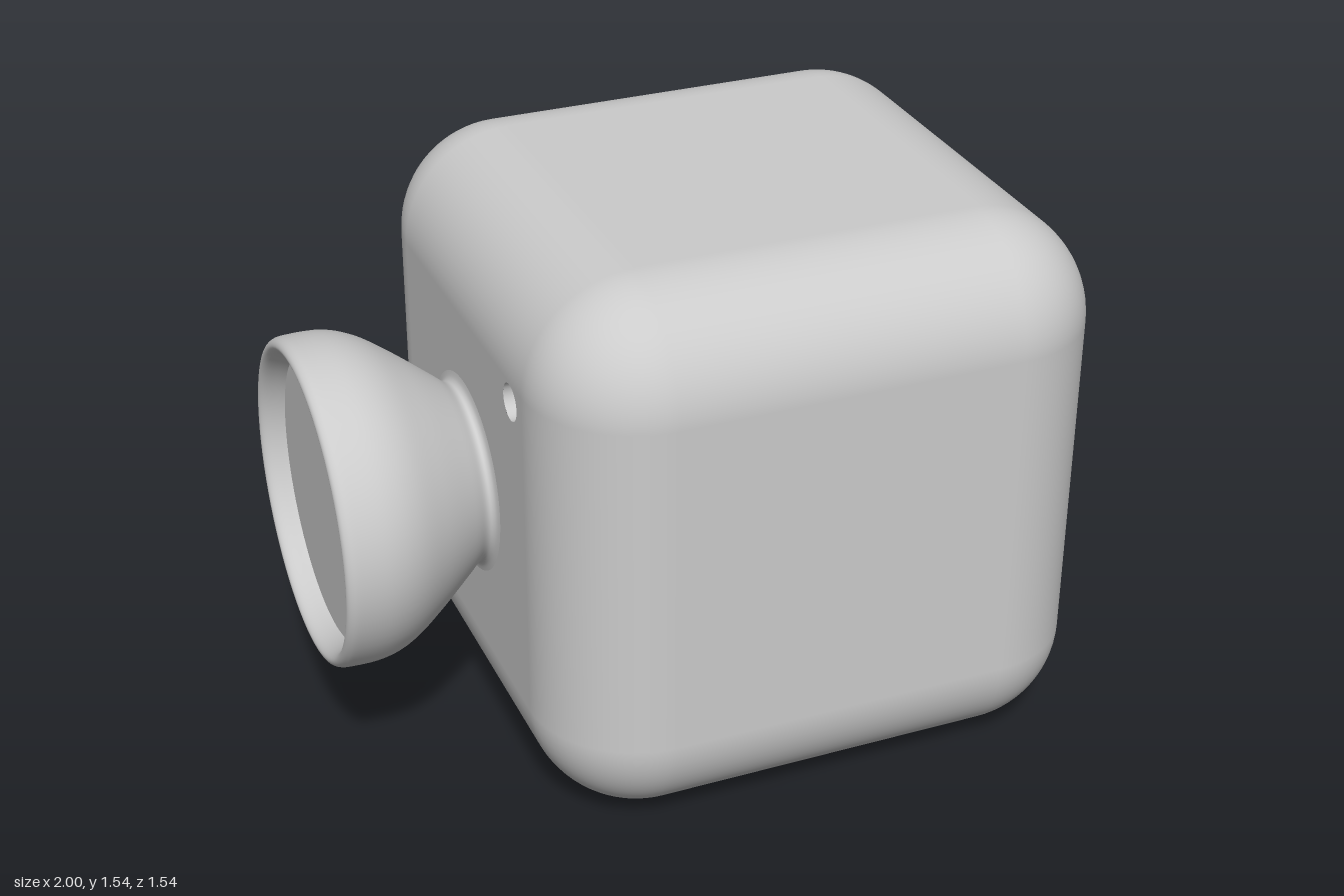
import * as THREE from 'three';
import { RoundedBoxGeometry } from 'three/addons/geometries/RoundedBoxGeometry.js';

const SIZE = 1.54, RADIUS = 0.3, CENTRE_X = 0.23, CENTRE_Y = 0.77;
const HALF = SIZE / 2, FLAT = HALF - RADIUS;
const HOLE = { z: 0.385, y: 0.415, r: 0.05, depth: 0.07 };

const material = new THREE.MeshStandardMaterial({ color: 0xcccccc, roughness: 0.7 });
const v2 = (x, y) => new THREE.Vector2(x, y);

function addMesh(parent, name, geometry) {
  const mesh = new THREE.Mesh(geometry, material);
  mesh.name = name;
  parent.add(mesh);
  return mesh;
}

// Rounded cube whose flat -x panel is left out, so that it can carry a hole
function openCube() {
  const box = new RoundedBoxGeometry(SIZE, SIZE, SIZE, 10, RADIUS);
  const p = box.attributes.position, n = box.attributes.normal;
  const positions = [], normals = [];
  for (let i = 0; i < p.count; i += 3) {
    const corners = [i, i + 1, i + 2];
    if (corners.every((j) => p.getX(j) < -HALF + 1e-5)) continue;
    for (const j of corners) {
      positions.push(p.getX(j), p.getY(j), p.getZ(j));
      normals.push(n.getX(j), n.getY(j), n.getZ(j));
    }
  }
  const geometry = new THREE.BufferGeometry();
  geometry.setAttribute('position', new THREE.Float32BufferAttribute(positions, 3));
  geometry.setAttribute('normal', new THREE.Float32BufferAttribute(normals, 3));
  return geometry;
}

// Flat panel with the small round hole, turned to face -x
function sidePanel() {
  const shape = new THREE.Shape([v2(-FLAT, -FLAT), v2(FLAT, -FLAT), v2(FLAT, FLAT), v2(-FLAT, FLAT)]);
  const hole = new THREE.Path();
  hole.absarc(HOLE.z, HOLE.y, HOLE.r, 0, Math.PI * 2, true);
  shape.holes.push(hole);
  return new THREE.ShapeGeometry(shape, 32).rotateY(-Math.PI / 2).translate(-HALF, 0, 0);
}

export function createModel() {
  const model = new THREE.Group();
  model.name = 'cubeWithKnob';

  const body = new THREE.Group();
  body.name = 'body';
  body.position.set(CENTRE_X, CENTRE_Y, 0);
  model.add(body);
  addMesh(body, 'roundedCube', openCube());
  addMesh(body, 'sidePanel', sidePanel());

  // Lining of the hole: a short wall with a rounded bottom, open towards -x
  const lining = [v2(HOLE.r, 0), v2(HOLE.r, -0.03)];
  for (let i = 1; i <= 8; i++) {
    const a = (i / 8) * Math.PI / 2;
    lining.push(v2(HOLE.r * Math.cos(a), -0.03 - (HOLE.depth - 0.03) * Math.sin(a)));
  }
  const holeLining = addMesh(body, 'holeLining', new THREE.LatheGeometry(lining, 32).rotateZ(Math.PI / 2));
  holeLining.position.set(-HALF, HOLE.y, HOLE.z);

  // Knob: profile runs along the axis from the neck fillet to the lip (radius, distance)
  const knob = new THREE.Group();
  knob.name = 'knob';
  knob.position.y = 0.775;
  model.add(knob);
  const outer = new THREE.SplineCurve([
    v2(0.285, 0.538), v2(0.256, 0.546), v2(0.249, 0.565), v2(0.28, 0.605), v2(0.355, 0.7),
    v2(0.416, 0.79), v2(0.443, 0.87), v2(0.445, 0.96), v2(0.438, 0.99), v2(0.422, 1),
    v2(0.407, 0.99), v2(0.393, 0.96), v2(0.382, 0.935),
  ]).getPoints(72);
  addMesh(knob, 'knobShell', new THREE.LatheGeometry(outer, 72).rotateZ(Math.PI / 2));

  // Recessed flat end of the knob
  const face = addMesh(knob, 'knobFace', new THREE.CircleGeometry(0.384, 72).rotateY(-Math.PI / 2));
  face.position.x = -0.936;

  return model;
}
